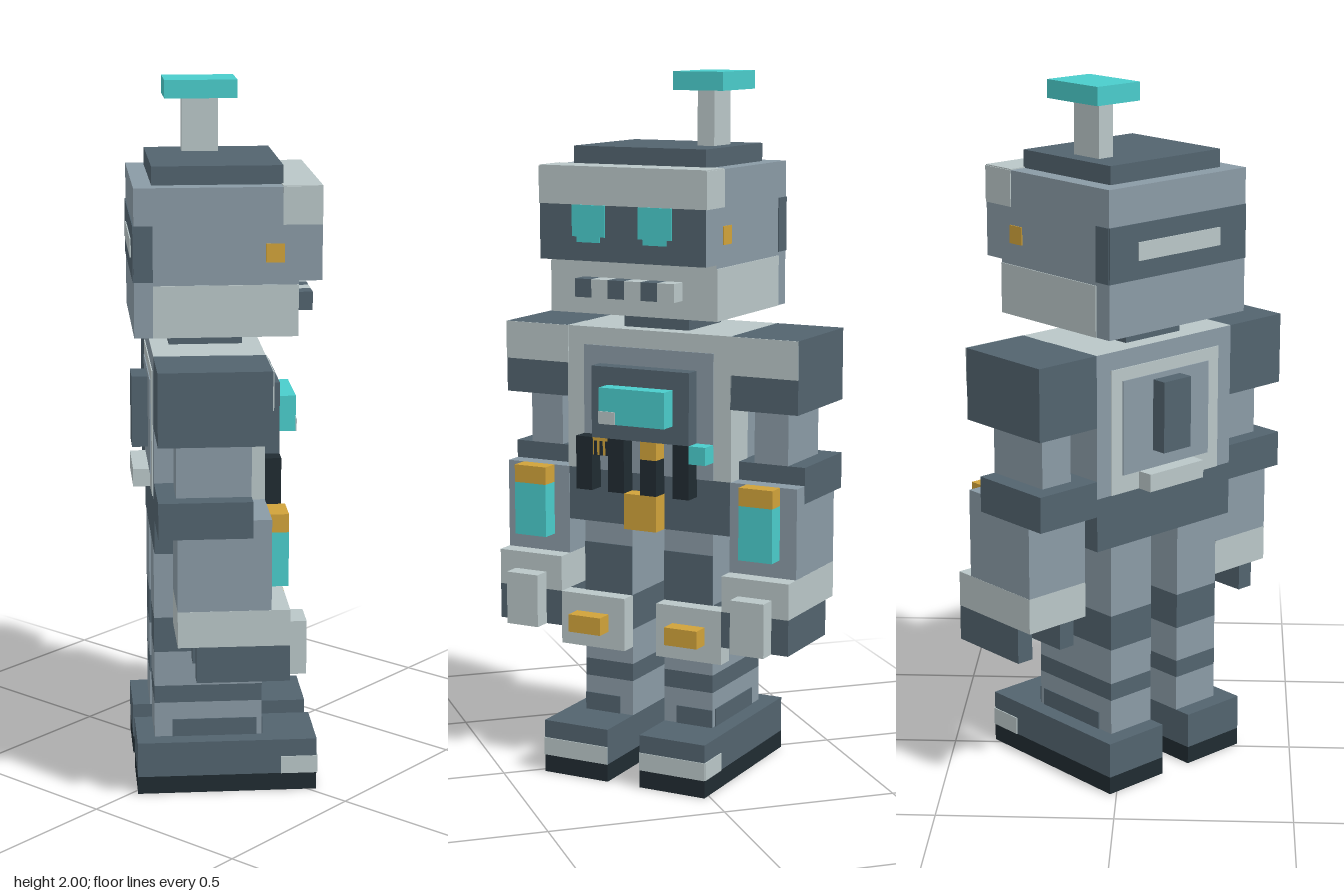
import * as THREE from 'three';

const G = 2 / 39; // one block unit; the figure is 39 units tall
const E = 0.06;   // thickness of painted plates, in block units

const paint = (name, color) => {
  const m = new THREE.MeshStandardMaterial({ color });
  m.name = name;
  return m;
};

export function createModel() {
  const slate = paint('slate', 0x8a9aa5);
  const dark = paint('dark slate', 0x52636e);
  const light = paint('light grey', 0xb9c6c7);
  const black = paint('black', 0x202b31);
  const teal = paint('teal', 0x4acccb);
  const gold = paint('gold', 0xd0a23a);

  const body = new THREE.Group();
  body.name = 'robot';

  // Box between two corners, in block units: x across, y up, z forward
  const box = (name, mat, x0, x1, y0, y1, z0, z1) => {
    const mesh = new THREE.Mesh(new THREE.BoxGeometry(x1 - x0, y1 - y0, z1 - z0), mat);
    mesh.position.set((x0 + x1) / 2, (y0 + y1) / 2, (z0 + z1) / 2);
    mesh.name = name;
    body.add(mesh);
  };
  // Same box on both sides
  const pair = (name, mat, x0, x1, ...rest) => {
    box(name + 'Left', mat, x0, x1, ...rest);
    box(name + 'Right', mat, -x1, -x0, ...rest);
  };
  // Thin painted plates on a front, back or outer side face
  const front = (name, mat, x0, x1, y0, y1, z) => box(name, mat, x0, x1, y0, y1, z, z + E);
  const back = (name, mat, x0, x1, y0, y1, z) => box(name, mat, x0, x1, y0, y1, z - E, z);
  const sides = (name, mat, x, y0, y1, z0, z1) => pair(name, mat, x, x + E, y0, y1, z0, z1);

  // Feet
  pair('sole', black, 1, 5, 0, 1, -4.5, 5.5);
  pair('foot', dark, 1, 5, 1, 3, -4.5, 5.5);
  pair('toeStripe', light, 1, 5, 1, 2, 5.5, 5.5 + E);
  sides('toeSideStripe', light, 5, 1, 2, 3.5, 5.5);

  // Legs
  pair('shin', slate, 1, 4, 3, 5, -3.5, 2.5);
  pair('ankleFront', dark, 1.8, 4, 3, 4, 2.5, 2.5 + E);
  sides('ankleSide', dark, 4, 3, 4, -2.5, 2.2);
  pair('shinBand', dark, 1, 4, 5, 6, -3.5, 2.5);
  pair('calf', slate, 1, 4, 6, 8, -3.5, 2.5);
  pair('kneeBand', dark, 1, 4, 8, 10, -3.5, 2.5);
  pair('thigh', slate, 1, 4, 10, 14, -3.5, 2.5);
  pair('thighPatch', dark, 1, 4, 10, 12.8, 2.5, 2.5 + E);
  pair('kneePad', light, 1, 5, 7, 10, 2.5, 3.5);
  pair('kneeBolt', gold, 2, 4, 8, 9, 3.5, 4.5);

  // Torso
  box('pelvis', dark, -5, 5, 14, 17, -3.5, 2.5);
  box('torso', [slate, slate, light, slate, light, slate], -5, 5, 17, 25, -3.5, 2.5);
  sides('torsoSideEdge', light, 5, 17, 25, 0.4, 2.5);
  front('chestPanel', slate, -4, 4, 17, 24, 2.5);
  box('screenFrame', dark, -3, 3, 19, 23, 2.5, 3.5);
  box('screen', teal, -2, 2, 20, 22, 3.5, 4.5);
  front('screenGlint', light, -2, -1, 20, 20.7, 4.5);
  [-4, -2, 0, 2].forEach((x, i) => box('rib' + (i + 1), black, x, x + 1, 16, x === 0 ? 18 : 19, 2.5, 3.5));
  box('ribCap', gold, 0, 1, 18, 19, 2.5, 3.5);
  box('meter', gold, -3, -2, 18, 19, 2.5, 3.4);
  for (const x of [-2.8, -2.45, -2.1]) front('meterMark', black, x - 0.08, x + 0.08, 18, 18.8, 3.4);
  box('button', teal, 3, 4, 18, 19, 2.5, 3.5);
  box('buckle', gold, -1, 1, 14, 16, 2.5, 3.5);

  // Back of torso
  back('backFrame', light, -4, 4, 17, 24, -3.5);
  back('backPanel', slate, -3.2, 3.2, 18, 23.3, -3.5 - E);
  box('backLever', dark, -1, 1, 19, 23, -4.5, -3.5);
  box('backHandle', light, -2, 2, 17, 18, -4.5, -3.5);

  // Arms
  pair('shoulder', dark, 5, 9, 21, 25, -3.5, 2.5);
  pair('shoulderStripe', light, 5, 9, 22.9, 25, 2.5, 2.5 + E);
  pair('upperArm', slate, 6, 8, 18, 21, -2.5, 1.5);
  pair('cuff', dark, 5, 9, 16, 18, -3.5, 1.5);
  pair('forearm', slate, 5.01, 8.99, 12, 17, -2.5, 2.5);
  pair('armPanel', teal, 6, 8, 13, 16, 2.5, 3.5);
  pair('armPanelCap', gold, 6, 8, 16, 17, 2.5, 3.5);
  pair('wristBand', light, 5, 9, 10, 12, -2.5, 3.5);
  pair('outerFinger', dark, 8, 9, 8, 10, -1.5, 3.5);
  pair('innerFinger', dark, 5, 6, 8, 10, -1.5, 3.5);
  pair('thumb', light, 6, 8, 8, 11, 2.5, 4.5);

  // Neck and head
  box('neck', dark, -2, 2, 25, 26, -2.5, 1.5);
  box('head', [slate, slate, slate, slate, light, slate], -5, 5, 26, 34, -4.5, 4.25);
  sides('cheek', light, 5, 26, 28.8, -3.5, 4.25);
  sides('headSideBand', dark, 5, 29, 32, -4.5, -3.5);
  back('headBackBand', dark, -5, 5, 29, 32, -4.5);
  back('headVent', light, -3, 3, 30, 31, -4.5 - E);
  sides('earBolt', gold, 5, 30, 31, 2.5, 3.5);
  box('visor', [slate, slate, slate, dark, dark, slate], -5, 5, 29, 32, 4.25, 5.5);
  box('brow', light, -5, 5, 32, 34, 4.25, 5.5);
  box('browTop', light, -5, 5, 34, 34 + E, 3.4, 5.5);
  sides('browSide', light, 5, 32, 34, 3.4, 5.5);
  pair('eye', teal, 1, 3, 30.3, 32, 5.5, 5.5 + E);
  pair('eyeLowerEdge', teal, 1.3, 2.7, 30, 30.3, 5.5, 5.5 + E);
  for (let i = 0; i < 6; i++) box('tooth' + (i + 1), i % 2 ? light : dark, i - 3, i - 2, 27, 28, 4.25, 5.25);

  // Cap and antenna
  box('headCap', dark, -4, 4, 34, 35, -3.5, 3.5);
  box('antennaPole', light, 2, 3, 35, 38, -1.5, 0.5);
  box('antennaPlate', teal, 1, 4, 38, 39, -2.5, 1.5);

  // The figure stands turned halfway towards +x
  body.scale.setScalar(G);
  body.rotation.y = Math.PI / 4;
  const model = new THREE.Group();
  model.name = 'robotModel';
  model.add(body);
  return model;
}
